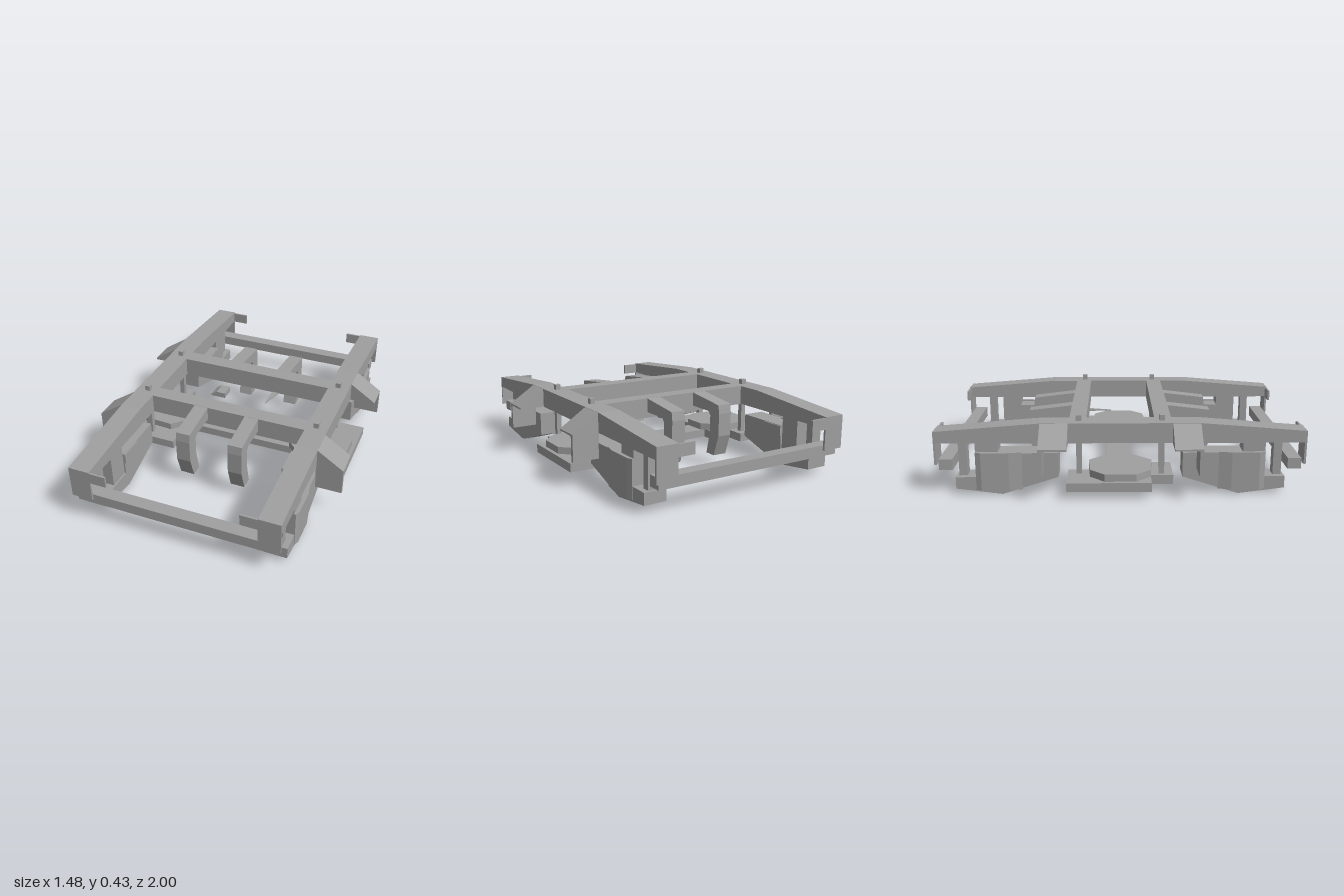
import * as THREE from 'three';

const steel = new THREE.MeshStandardMaterial({ color: 0xa0a0a0 });
steel.name = 'steel grey';

export function createModel() {
  const root = new THREE.Group();
  root.name = 'bogieFrame';

  const add = (name, geometry) => {
    const mesh = new THREE.Mesh(geometry, steel);
    mesh.name = name;
    root.add(mesh);
    return mesh;
  };
  // Box from its limits; any pair may be given in either order
  const box = (name, x0, x1, y0, y1, z0, z1) =>
    add(name, new THREE.BoxGeometry(Math.abs(x1 - x0), Math.abs(y1 - y0), Math.abs(z1 - z0))
      .translate((x0 + x1) / 2, (y0 + y1) / 2, (z0 + z1) / 2));
  const extrude = (points, depth) => new THREE.ExtrudeGeometry(
    new THREE.Shape(points.map(p => new THREE.Vector2(p[0], p[1]))),
    { depth, bevelEnabled: false });
  // [z, y] outline extruded across x
  const sidePrism = (name, points, x0, x1) =>
    add(name, extrude(points, Math.abs(x1 - x0)).rotateY(-Math.PI / 2).translate(Math.max(x0, x1), 0, 0));
  // [x, y] outline extruded along z
  const frontPrism = (name, points, z0, z1) =>
    add(name, extrude(points, Math.abs(z1 - z0)).translate(0, 0, Math.min(z0, z1)));
  // [x, z] outline extruded upwards
  const planPrism = (name, points, y0, y1) =>
    add(name, extrude(points.map(([x, z]) => [x, -z]), y1 - y0).rotateX(-Math.PI / 2).translate(0, y0, 0));

  // Central spring plank
  box('springPlank', -0.36, 0.36, 0.05, 0.097, -0.075, 0.07);

  for (const s of [-1, 1]) {
    // Long side beam with tapering ends
    sidePrism('sideBeam', [[-1, 0.29], [1, 0.29], [1, 0.355], [0.43, 0.4], [-0.43, 0.4], [-1, 0.355]],
      s * 0.47, s * 0.592);

    // Stepped plank end and octagonal spring seat
    box('plankEndInner', s * 0.35, s * 0.57, 0.05, 0.1, -0.17, 0.288);
    box('plankEndOuter', s * 0.47, s * 0.692, 0.05, 0.1, -0.288, 0.165);
    planPrism('springSeat', [[0.32, -0.07], [0.42, -0.176], [0.59, -0.165], [0.67, -0.085],
      [0.67, 0.085], [0.59, 0.165], [0.42, 0.176], [0.32, 0.07]].map(([x, z]) => [s * x, z]), 0.1, 0.14);
  }

  for (const e of [-1, 1]) {
    // Cross members
    box('crossBeam', -0.47, 0.47, 0.288, 0.4, e * 0.185, e * 0.278);
    box('endBar', -0.57, 0.57, 0.135, 0.195, e * 0.908, e * 0.982);

    for (const s of [-1, 1]) {
      const X = pts => pts.map(([x, y]) => [s * x, y]);
      const Z = pts => pts.map(([z, y]) => [e * z, y]);

      // L-shaped end plate
      frontPrism('endPlate', X([[0.375, 0.35], [0.592, 0.35], [0.592, 0.17], [0.47, 0.17],
        [0.47, 0.287], [0.375, 0.287]]), e * 0.988, e * 1.0);

      // Suspension rod passing through beam and plank
      box('suspensionRod', s * 0.51, s * 0.54, 0.04, 0.43, e * 0.21, e * 0.24);

      // Outrigger bracket: sloping wedge and hanging plate
      frontPrism('bracketWedge', X([[0.59, 0.4], [0.742, 0.3], [0.742, 0.29], [0.59, 0.29]]), e * 0.28, e * 0.43);
      box('bracketPlate', s * 0.59, s * 0.742, 0.15, 0.3, e * 0.41, e * 0.43);

      // Brake hanger arm reaching out and bending down
      sidePrism('brakeHanger', Z([[0.27, 0.4], [0.525, 0.37], [0.532, 0.32], [0.53, 0.19], [0.49, 0.07],
        [0.42, 0.07], [0.45, 0.2], [0.45, 0.3], [0.43, 0.32], [0.27, 0.32]]), s * 0.115, s * 0.198);

      // Axle guard: lower body, pillar, bulged cover and guide post
      sidePrism('axleGuard', Z([[0.89, 0.1], [0.89, 0.035], [0.64, 0.003], [0.335, 0.1],
        [0.335, 0.235], [0.66, 0.235], [0.66, 0.1]]), s * 0.465, s * 0.592);
      box('axlePillar', s * 0.475, s * 0.585, 0.09, 0.29, e * 0.66, e * 0.78);
      box('axleInnerPad', s * 0.458, s * 0.5, 0.17, 0.232, e * 0.52, e * 0.66);
      planPrism('axleCover', [[0.58, 0.53], [0.592, 0.53], [0.606, 0.6], [0.606, 0.75], [0.595, 0.78], [0.58, 0.78]]
        .map(([x, z]) => [s * x, e * z]), 0.03, 0.24);
      box('guidePost', s * 0.5, s * 0.56, 0.09, 0.29, e * 0.83, e * 0.875);
    }
  }

  // Small fittings beside the rear cross beam
  frontPrism('fittingBlock', [[-0.24, 0.258], [-0.15, 0.258], [-0.15, 0.29], [-0.205, 0.29], [-0.24, 0.268]],
    -0.14, -0.055);
  planPrism('fittingGusset', [[0.115, -0.187], [0.16, -0.187], [0.118, -0.05]], 0.284, 0.291);

  return root;
}
